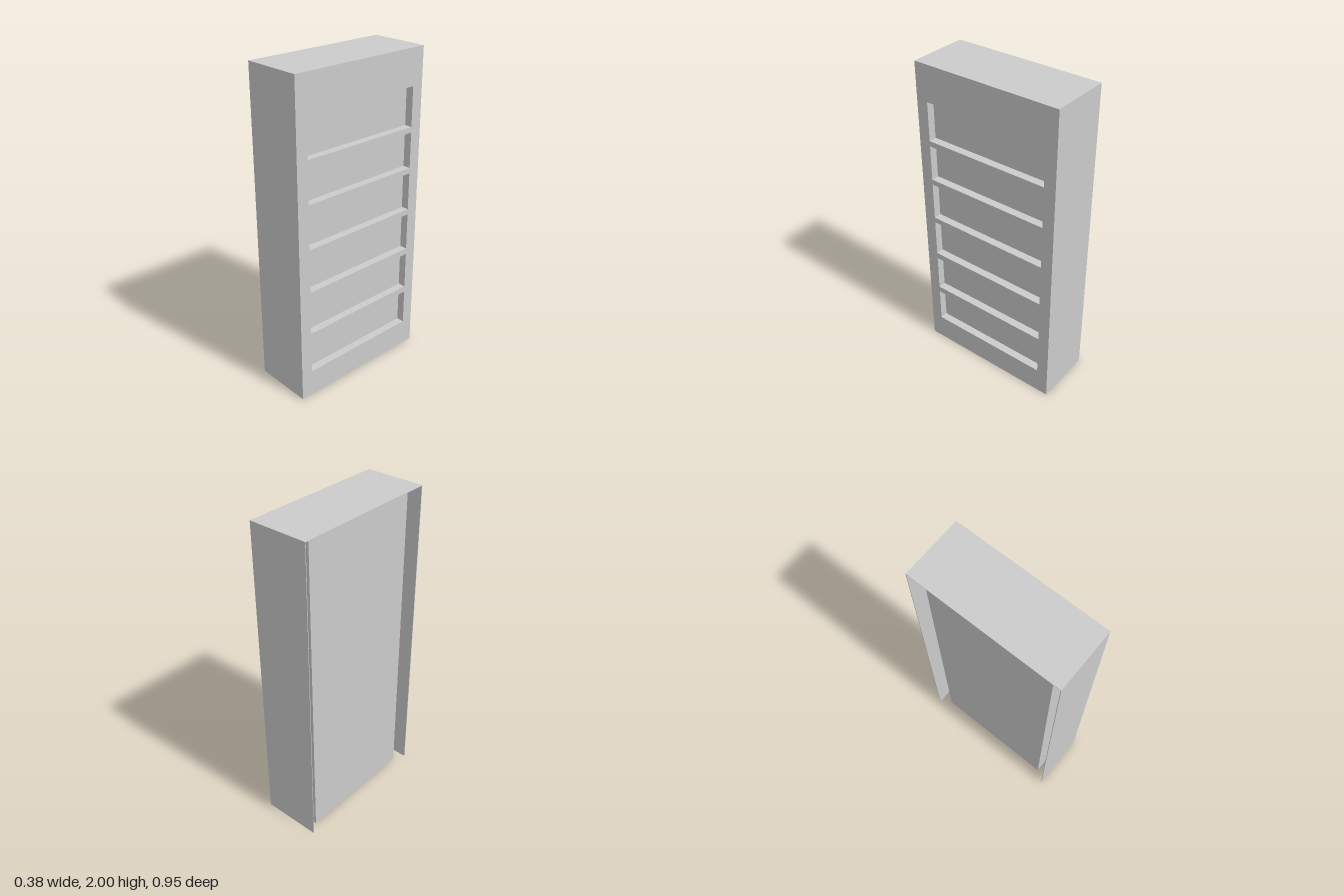
import * as THREE from 'three';

const material = new THREE.MeshStandardMaterial({ color: 0xcccccc, side: THREE.DoubleSide });
const X = 0.19, Z = 0.475, H = 2;   // half width, half length, height of the shell
const T = 0.004;                    // sheet thickness
const IN_Z = 0.4;                   // half length of the inner liner
const LINER_X = -0.14;              // rear panel of the liner
const POCKET_X = 0.14;              // back of the recessed openings
const OPENINGS = [[0.17, 0.4], [0.44, 0.68], [0.72, 0.96], [0.995, 1.235], [1.27, 1.495], [1.53, 1.775]];

// box given by its limits on each axis
function slab(name, [x0, x1], [y0, y1], [z0, z1]) {
  const mesh = new THREE.Mesh(new THREE.BoxGeometry(x1 - x0, y1 - y0, z1 - z0), material);
  mesh.position.set((x0 + x1) / 2, (y0 + y1) / 2, (z0 + z1) / 2);
  mesh.name = name;
  return mesh;
}

// rectangle outline from limits
function rect(Type, a0, a1, b0, b1) {
  return new Type([[a0, b0], [a1, b0], [a1, b1], [a0, b1]].map(p => new THREE.Vector2(...p)));
}

export function createModel() {
  const group = new THREE.Group();
  group.name = 'shelfCabinet';

  // outer shell: two end sheets and the top, open below and on the left
  group.add(
    slab('frontEnd', [-X, X - T], [0, H - T], [Z - T, Z]),
    slab('backEnd', [-X, X - T], [0, H - T], [-Z, -Z + T]),
    slab('top', [-X, X - T], [H - T, H], [-Z, Z])
  );

  // face plate with the row of openings
  const plate = rect(THREE.Shape, -Z, Z, 0, H);
  for (const [y0, y1] of OPENINGS) plate.holes.push(rect(THREE.Path, -IN_Z, IN_Z, y0, y1));
  const face = new THREE.Mesh(new THREE.ExtrudeGeometry(plate, { depth: T, bevelEnabled: false }), material);
  face.rotation.y = Math.PI / 2;
  face.position.x = X - T;
  face.name = 'facePlate';
  group.add(face);

  // inner liner reaching down to the ground
  group.add(slab('linerPanel', [LINER_X - T, LINER_X], [0, H - T], [-IN_Z - T, IN_Z + T]));
  for (const s of [-1, 1]) {
    const a = s * IN_Z, b = s * (IN_Z + T);
    group.add(slab('linerSide', [LINER_X, X - T], [0, H - T], [Math.min(a, b), Math.max(a, b)]));
  }

  // floor, recess backing and the dividers between openings
  const first = OPENINGS[0][0], last = OPENINGS[OPENINGS.length - 1][1];
  group.add(
    slab('floor', [LINER_X, X - T], [first - T, first], [-IN_Z, IN_Z]),
    slab('recessBacking', [POCKET_X - T, POCKET_X], [first, last], [-IN_Z, IN_Z]),
    slab('recessTop', [POCKET_X - T, X - T], [last, last + T], [-IN_Z, IN_Z])
  );
  for (let i = 1; i < OPENINGS.length; i++) {
    group.add(slab('divider', [POCKET_X, X - T], [OPENINGS[i - 1][1], OPENINGS[i][0]], [-IN_Z, IN_Z]));
  }
  return group;
}
